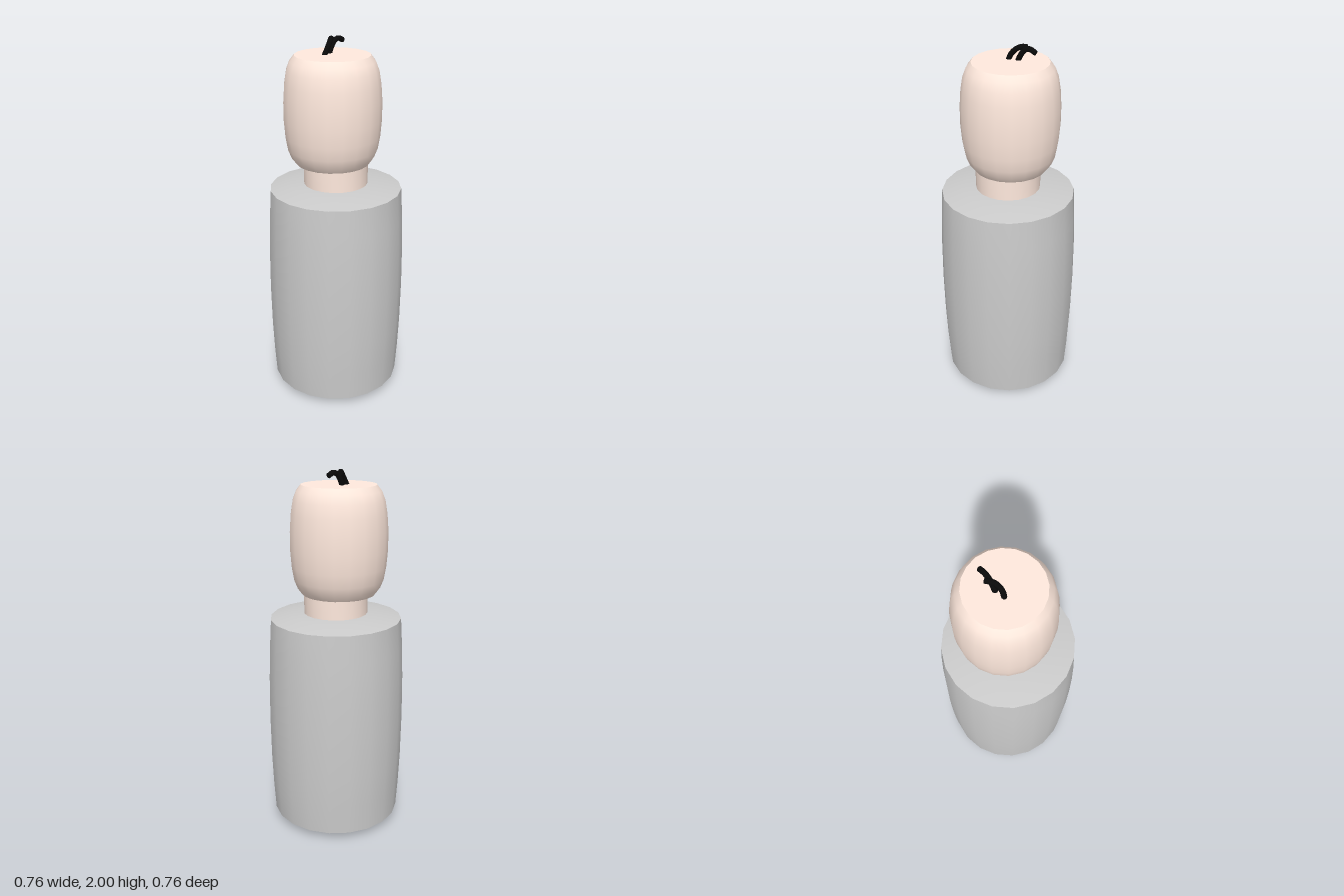
import * as THREE from 'three';
import { toCreasedNormals } from 'three/addons/utils/BufferGeometryUtils.js';

const SIDES = 20;

function material(color) {
  return new THREE.MeshStandardMaterial({ color });
}

// Turned solid from [radius, height] pairs listed bottom to top
function turned(name, profile, mat) {
  const points = profile.map(([r, y]) => new THREE.Vector2(r, y));
  const geometry = toCreasedNormals(new THREE.LatheGeometry(points, SIDES), 0.6);
  const mesh = new THREE.Mesh(geometry, mat);
  mesh.name = name;
  return mesh;
}

// Bent round strand with closed ends
function strand(name, coords, radius, mat) {
  const points = coords.map((p) => new THREE.Vector3(...p));
  const curve = new THREE.CatmullRomCurve3(points);
  const group = new THREE.Group();
  group.name = name;
  group.add(new THREE.Mesh(new THREE.TubeGeometry(curve, 20, radius, 10), mat));
  for (const t of [0, 1]) {
    const cap = new THREE.Mesh(new THREE.CircleGeometry(radius, 10), mat);
    const end = curve.getPoint(t);
    const outward = curve.getTangent(t).multiplyScalar(t ? 1 : -1);
    cap.position.copy(end);
    cap.lookAt(end.clone().add(outward));
    group.add(cap);
  }
  return group;
}

export function createModel() {
  const model = new THREE.Group();
  const grey = material(0xcccccc);
  const skin = material(0xffe9dd);
  const black = material(0x0a0a0a);

  // Barrel-shaped body with slightly domed ends
  model.add(turned('body', [
    [0, 0], [0.12, 0.005], [0.25, 0.018], [0.36, 0.04],
    [0.37, 0.2], [0.377, 0.38], [0.38, 0.62], [0.377, 0.86], [0.37, 1.04], [0.36, 1.2],
    [0.25, 1.222], [0.12, 1.233], [0, 1.236],
  ], grey));

  // Straight neck
  model.add(turned('neck', [[0, 1.18], [0.175, 1.18], [0.175, 1.36], [0, 1.36]], skin));

  // Rounded head with flat top and bottom, set slightly to one side
  const head = turned('head', [
    [0, 1.34], [0.2, 1.34], [0.225, 1.374], [0.243, 1.42], [0.255, 1.49], [0.262, 1.58],
    [0.262, 1.68], [0.255, 1.77], [0.243, 1.84], [0.225, 1.886], [0.2, 1.918], [0, 1.918],
  ], skin);
  head.position.x = -0.022;
  model.add(head);

  // Two curled hairs on the crown
  model.add(strand('frontHair', [
    [-0.052, 1.9, 0.038], [-0.046, 1.945, 0.015], [-0.053, 1.975, -0.012],
    [-0.068, 1.987, -0.037], [-0.084, 1.984, -0.06],
  ], 0.014, black));
  model.add(strand('backHair', [
    [-0.061, 1.9, -0.012], [-0.061, 1.94, -0.03], [-0.061, 1.975, -0.057],
    [-0.061, 1.985, -0.088], [-0.061, 1.972, -0.122],
  ], 0.014, black));

  return model;
}
